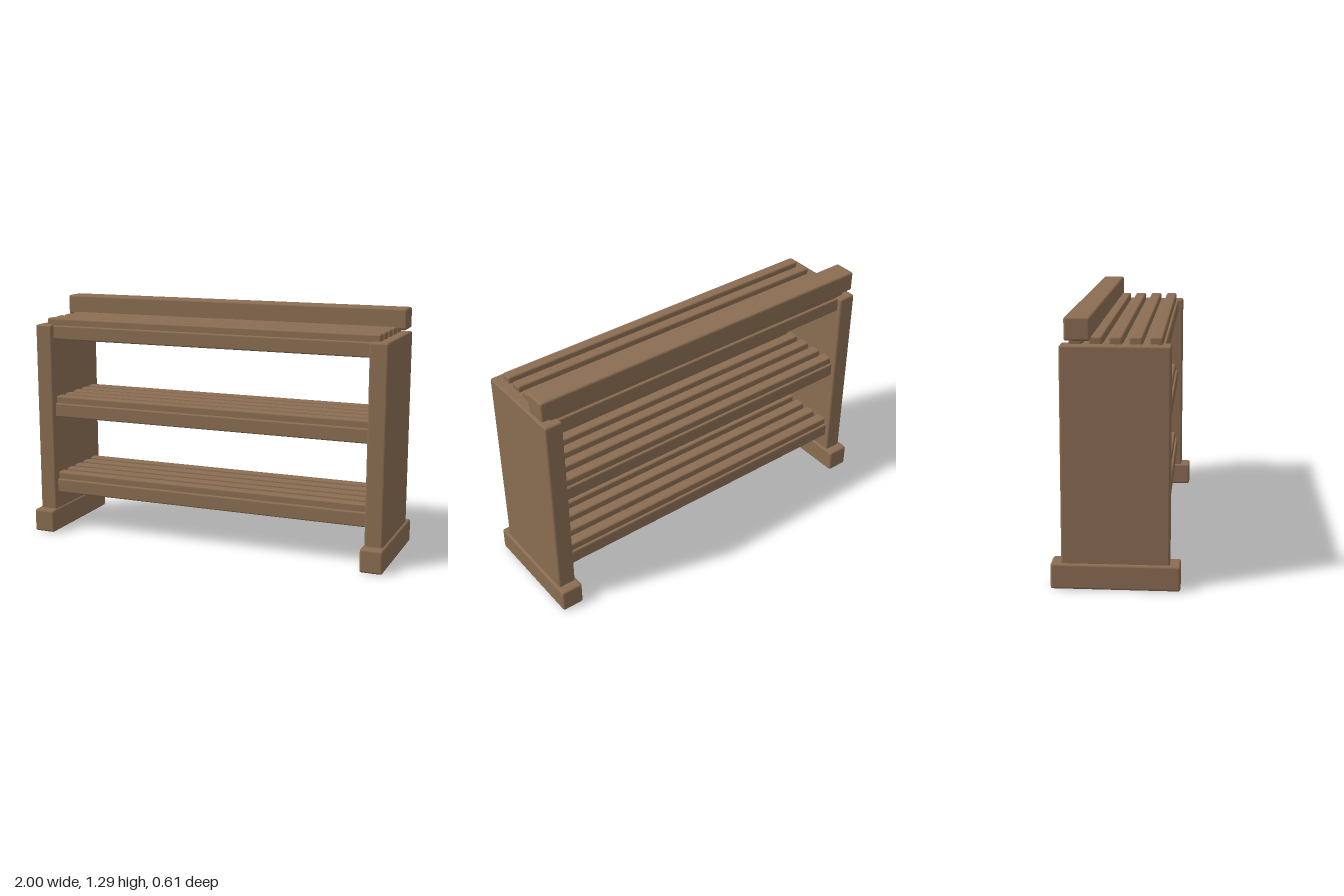
import * as THREE from 'three';
import { RoundedBoxGeometry } from 'three/addons/geometries/RoundedBoxGeometry.js';

export function createModel() {
  const group = new THREE.Group();
  group.name = 'slattedShelf';
  const wood = new THREE.MeshStandardMaterial({ color: 0x8a6d52 });
  wood.name = 'brown wood';

  // Softly bevelled timber spanning the given minimum and maximum corners
  function timber(name, [x0, y0, z0], [x1, y1, z1], bevel) {
    const geometry = new RoundedBoxGeometry(x1 - x0, y1 - y0, z1 - z0, 2, bevel);
    const mesh = new THREE.Mesh(geometry, wood);
    mesh.name = name;
    mesh.position.set((x0 + x1) / 2, (y0 + y1) / 2, (z0 + z1) / 2);
    group.add(mesh);
    return mesh;
  }

  // Side panels standing on wider feet
  for (const [side, label] of [[1, 'left'], [-1, 'right']]) {
    const foot = timber(label + 'Foot', [0.88, 0, -0.307], [1, 0.125, 0.307], 0.012);
    const panel = timber(label + 'Panel', [0.89, 0.11, -0.257], [0.986, 1.162, 0.257], 0.011);
    foot.position.x *= side;
    panel.position.x *= side;
  }

  // Three shelves: a solid board carrying five slats
  const shelves = [
    ['lower', 0.215, 0.9],
    ['middle', 0.648, 0.9],
    ['top', 1.081, 0.936],
  ];
  for (const [label, y, slatEnd] of shelves) {
    timber(label + 'Board', [-0.9, y, -0.23], [0.9, y + 0.077, 0.23], 0.008);
    for (let i = -2; i <= 2; i++) {
      const z = i * 0.093;
      timber(label + 'Slat', [-slatEnd, y + 0.066, z - 0.03], [slatEnd, y + 0.115, z + 0.03], 0.009);
    }
  }

  // Raised rail along the back
  timber('backRail', [-0.986, 1.182, -0.233], [0.986, 1.291, -0.112], 0.011);

  return group;
}
